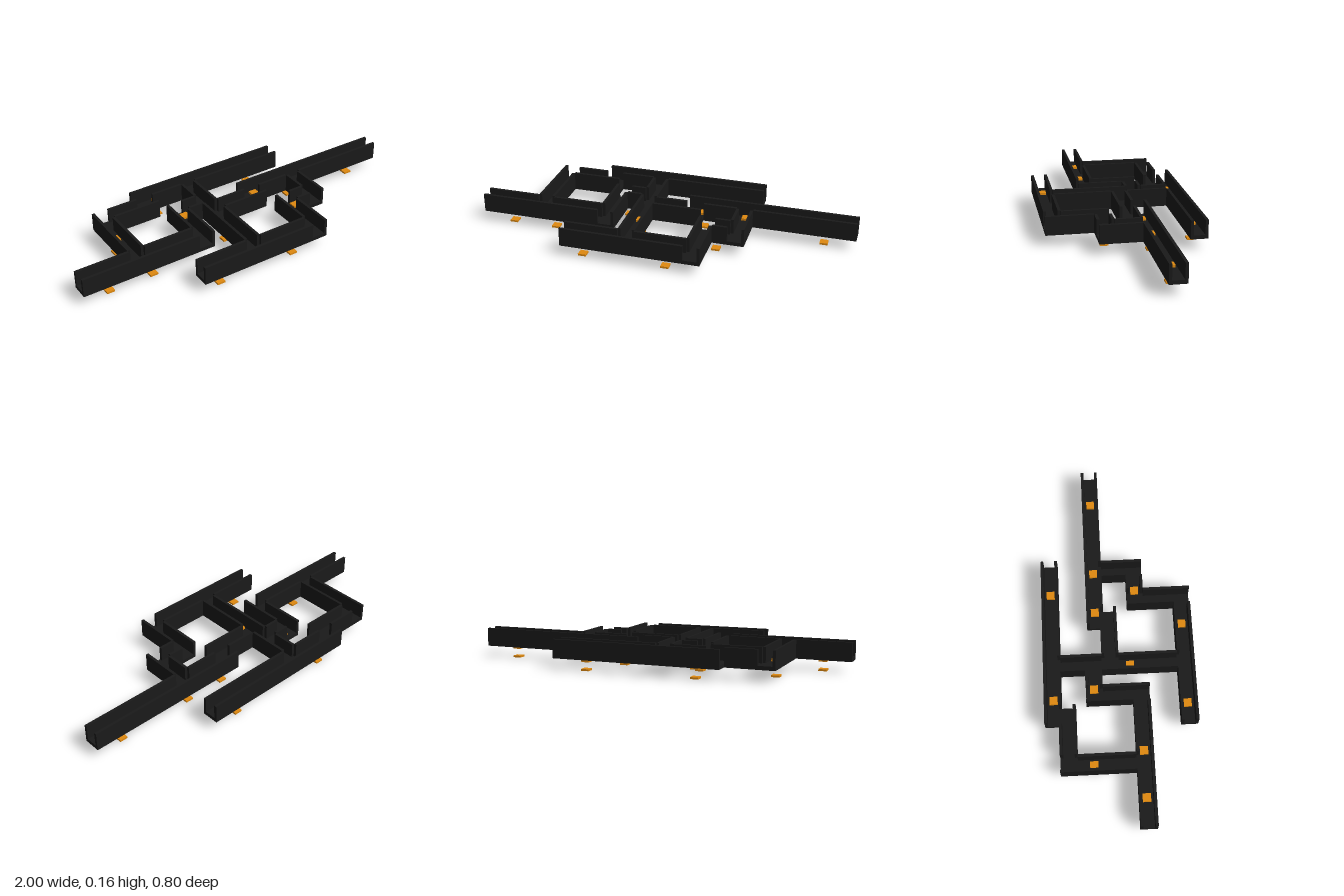
import * as THREE from 'three';

const WIDTH = 0.09, WALL = 0.015, FLOOR = 0.02, BASE = 0.06, TOP = 0.16;

export function createModel() {
  const model = new THREE.Group();
  const black = new THREE.MeshStandardMaterial({ color: 0x1a1a1a });
  const orange = new THREE.MeshStandardMaterial({ color: 0xe08a10 });

  // Box given by its extent along the run, its height span and its span across
  function bar(group, name, axis, a, b, y0, y1, c0, c1) {
    const along = b - a, across = c1 - c0;
    const geo = axis === 'x'
      ? new THREE.BoxGeometry(along, y1 - y0, across)
      : new THREE.BoxGeometry(across, y1 - y0, along);
    const mesh = new THREE.Mesh(geo, black);
    const m = (a + b) / 2, c = (c0 + c1) / 2;
    mesh.position.set(axis === 'x' ? m : c, (y0 + y1) / 2, axis === 'x' ? c : m);
    mesh.name = name;
    group.add(mesh);
  }

  // Open-ended U channel; gaps are the openings in its low and high side walls
  function channel(name, axis, from, to, centre, lowGaps = [], highGaps = []) {
    const group = new THREE.Group();
    group.name = name;
    const lo = centre - WIDTH / 2, hi = centre + WIDTH / 2;
    bar(group, 'floor', axis, from, to, BASE, BASE + FLOOR, lo, hi);
    for (const [gaps, c0] of [[lowGaps, lo], [highGaps, hi - WALL]]) {
      let start = from;
      for (const [g0, g1] of [...gaps, [to, to]]) {
        if (g0 - start > 0.001) bar(group, 'sideWall', axis, start, g0, BASE + FLOOR, TOP, c0, c0 + WALL);
        start = g1;
      }
    }
    model.add(group);
  }

  // Long channels running along x
  channel('leftOuterChannel', 'x', -1, -0.345, 0.11, [[-0.71, -0.62]]);
  channel('rightOuterChannel', 'x', 0.085, 1, -0.115, [], [[0.085, 0.18], [0.36, 0.45]]);
  channel('frontChannel', 'x', -0.465, 0.19, 0.354, [[-0.175, -0.085]]);
  channel('backChannel', 'x', -0.45, 0.46, -0.354, [], [[-0.45, -0.355], [-0.175, -0.085]]);

  // Cross channels running along z
  channel('farCrossChannel', 'z', -0.325, 0.065, -0.665, [], [[-0.325, -0.235]]);
  channel('innerCrossChannel', 'z', -0.18, 0.155, -0.3, [[0.065, 0.155]], [[-0.18, -0.09]]);
  channel('centreCrossChannel', 'z', -0.309, 0.309, -0.13, [[-0.18, -0.09]], [[-0.09, 0]]);
  channel('frontCrossChannel', 'z', 0.06, 0.399, 0.235, [[0.309, 0.399]], [[0.06, 0.15]]);
  channel('rightCrossChannel', 'z', -0.07, 0.15, 0.405, [[0.06, 0.15]]);

  // Short links along x
  channel('backLink', 'x', -0.62, -0.355, -0.28, [[-0.45, -0.355]]);
  channel('innerLink', 'x', -0.255, -0.175, -0.135);
  channel('centreLink', 'x', -0.085, 0.18, -0.045, [[0.085, 0.18]]);
  channel('frontLink', 'x', 0.28, 0.36, 0.105);

  // Support points: plates on the ground, under the floor and on the floor
  const supports = [
    [-0.845, 0.107], [-0.6, 0.107], [-0.667, -0.152], [-0.26, -0.137], [-0.312, -0.352],
    [0.287, -0.352], [-0.132, 0.06], [-0.355, 0.35], [0.09, 0.35], [0.295, 0.105],
    [0.175, -0.115], [0.405, -0.115], [0.83, -0.115],
  ];
  const levels = [['groundPlate', 0, 0.01], ['underPlate', 0.049, 0.06], ['floorPlate', 0.08, 0.092]];
  for (const [x, z] of supports) {
    for (const [name, y0, y1] of levels) {
      const plate = new THREE.Mesh(new THREE.BoxGeometry(0.043, y1 - y0, 0.043), orange);
      plate.position.set(x, (y0 + y1) / 2, z);
      plate.name = name;
      model.add(plate);
    }
  }
  return model;
}
